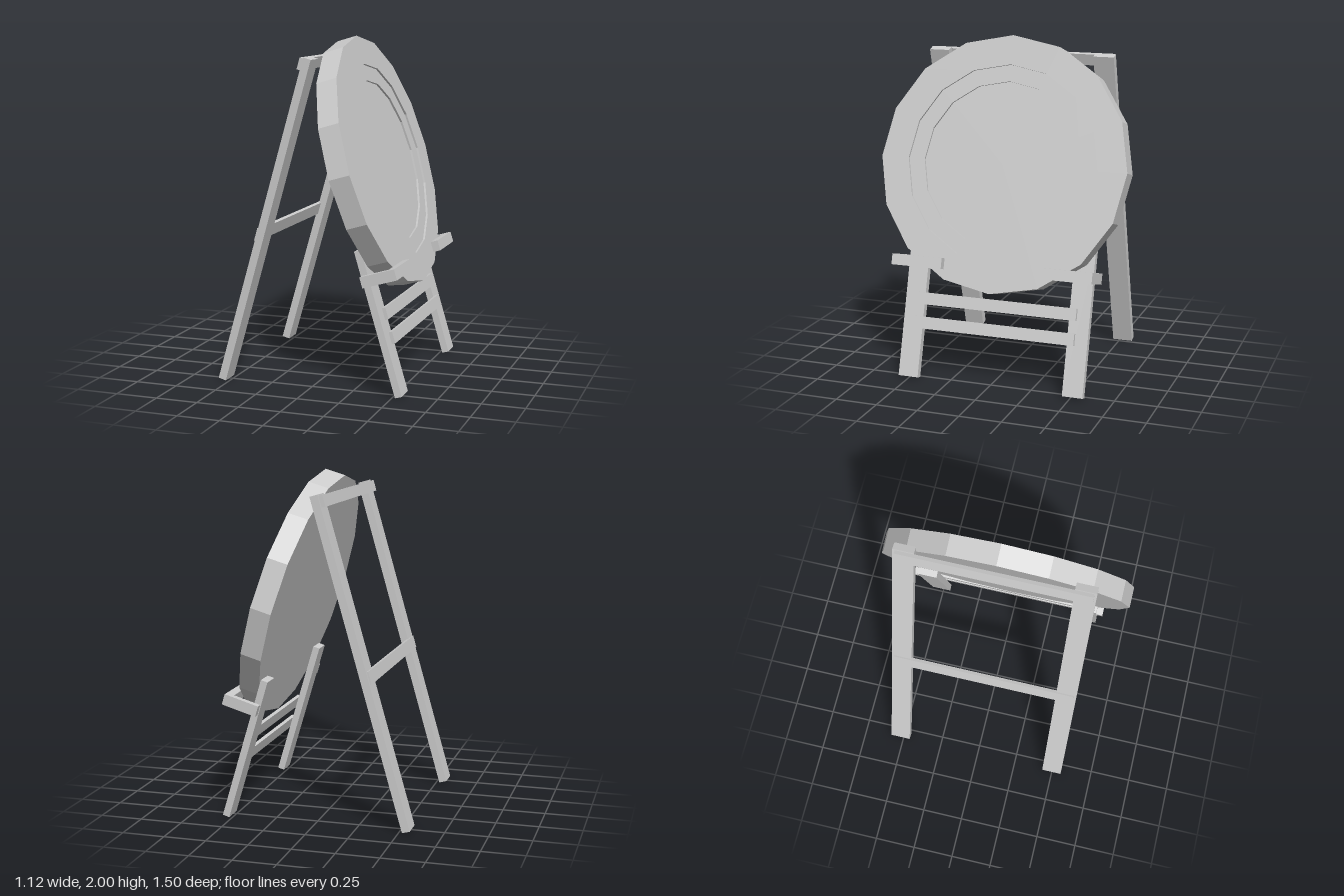
import * as THREE from 'three';

const material = new THREE.MeshStandardMaterial({ color: 0xcccccc, flatShading: true });

// Box given by its extents along each axis: [min, max]
function box(name, parent, [x0, x1], [y0, y1], [z0, z1]) {
  const mesh = new THREE.Mesh(new THREE.BoxGeometry(x1 - x0, y1 - y0, z1 - z0), material);
  mesh.position.set((x0 + x1) / 2, (y0 + y1) / 2, (z0 + z1) / 2);
  mesh.name = name;
  parent.add(mesh);
  return mesh;
}

// Same box on both sides, z0..z1 measured outwards
function pair(name, parent, x, y, [z0, z1]) {
  box(name + 'Left', parent, x, y, [z0, z1]);
  box(name + 'Right', parent, x, y, [-z1, -z0]);
}

export function createModel() {
  const model = new THREE.Group();
  model.name = 'discOnStand';

  // Front frame: leans back, local x is the disc's facing direction
  const front = new THREE.Group();
  front.name = 'frontFrame';
  front.position.set(0.558, 0.012, -0.0075);
  front.rotation.z = THREE.MathUtils.degToRad(16.55);
  model.add(front);

  pair('frontLeg', front, [-0.0415, 0], [0, 0.859], [0.447, 0.569]);
  box('upperSlat', front, [0, 0.021], [0.434, 0.504], [-0.493, 0.493]);
  box('lowerSlat', front, [0, 0.021], [0.291, 0.361], [-0.493, 0.493]);

  // L-shaped brackets: an arm outside each leg and a lip in front of the disc
  pair('bracketArm', front, [-0.037, 0.128], [0.653, 0.717], [0.569, 0.609]);
  pair('bracketLip', front, [0.128, 0.173], [0.653, 0.717], [0.298, 0.609]);

  // Sixteen-sided disc with two shallow recessed steps on its face
  const profile = [
    [0, -0.062], [0.75, -0.062], [0.75, 0.062], [0.579, 0.062],
    [0.579, 0.05], [0.482, 0.05], [0.482, 0.038], [0, 0.038],
  ].map(([r, h]) => new THREE.Vector2(r, h));
  const disc = new THREE.Mesh(new THREE.LatheGeometry(profile, 16), material);
  disc.name = 'disc';
  disc.rotation.z = -Math.PI / 2;
  disc.position.set(0.062, 1.287, 0.0075);
  front.add(disc);

  // Rear frame: two long legs joined by two crossbars
  const rear = new THREE.Group();
  rear.name = 'rearFrame';
  rear.position.set(-0.274, 0.95, -0.0105);
  rear.rotation.z = THREE.MathUtils.degToRad(-15.95);
  model.add(rear);

  pair('rearLeg', rear, [-0.0235, 0.0235], [-0.98, 0.98], [0.447, 0.569]);
  box('topCrossbar', rear, [-0.0475, -0.0225], [0.904, 0.972], [-0.555, 0.555]);
  box('middleCrossbar', rear, [-0.033, -0.012], [-0.116, -0.041], [-0.555, 0.555]);

  return model;
}
